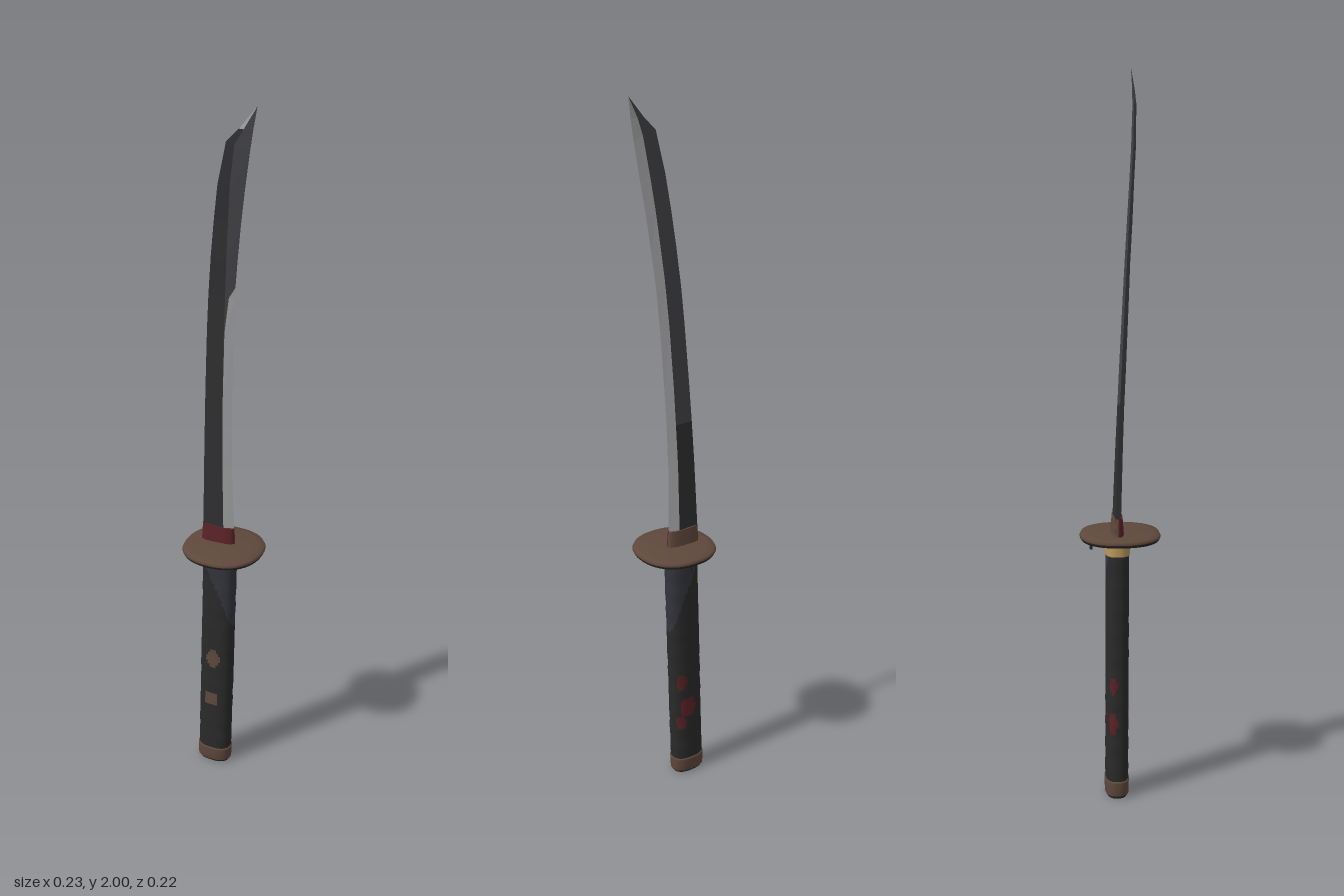
import * as THREE from 'three';

const mat = (name, color) => Object.assign(new THREE.MeshStandardMaterial({ color }), { name });
const lerp = THREE.MathUtils.lerp;

export function createModel() {
  const M = {
    wrap: mat('black wrap', 0x2a2a2b),
    slate: mat('slate wrap', 0x34353d),
    brown: mat('rusty brown', 0x5f483c),
    under: mat('sooty iron', 0x2a2523),
    red: mat('dried red', 0x5a2227),
    gold: mat('dull gold', 0xb8975c),
    dark: mat('dark steel', 0x303032),
    steel: mat('grey steel', 0x434348),
    silver: mat('polished edge', 0xa2a2a4),
  };
  const model = new THREE.Group();
  model.name = 'sword';

  // Skin closed rings of points; pick(i, j) names the material of each cell
  function skin(name, rings, pick, flat = false) {
    const n = rings[0].length, buckets = {};
    for (let i = 0; i < rings.length - 1; i++) {
      for (let j = 0; j < n; j++) {
        const k = (j + 1) % n;
        const a = i * n + j, b = i * n + k, c = a + n, d = b + n;
        (buckets[pick(i, j)] ??= []).push(a, c, b, b, c, d);
      }
    }
    let geo = new THREE.BufferGeometry();
    geo.setAttribute('position', new THREE.Float32BufferAttribute(rings.flat(2), 3));
    geo.setIndex(Object.values(buckets).flat());
    let start = 0;
    Object.values(buckets).forEach((list, g) => {
      geo.addGroup(start, list.length, g);
      start += list.length;
    });
    if (flat) geo = geo.toNonIndexed();
    geo.computeVertexNormals();
    const mesh = new THREE.Mesh(geo, Object.keys(buckets).map(key => M[key]));
    mesh.name = name;
    model.add(mesh);
  }

  // Rounded-oval ring at height y with half widths ax, az
  function oval(y, cx, cz, ax, az, n = 48, power = 2.5) {
    return Array.from({ length: n }, (_, j) => {
      const a = (j / n) * Math.PI * 2, c = Math.cos(a), s = Math.sin(a);
      return [
        cx + ax * Math.sign(c) * Math.abs(c) ** (2 / power), y,
        cz + az * Math.sign(s) * Math.abs(s) ** (2 / power),
      ];
    });
  }
  // Handle axis leans slightly towards +x
  const axisX = y => -0.037 + 0.029 * y;
  const axisZ = y => -0.013 + 0.006 * y;
  const gripRing = (y, ax, az) => oval(y, axisX(y), axisZ(y), ax, az);

  // Grip with worn spots [angle, height, angular radius, height radius, material]
  const spots = [
    [1.57, 0.375, 0.38, 0.03, 'brown'], [1.62, 0.23, 0.38, 0.025, 'brown'],
    [-1.0, 0.32, 0.4, 0.025, 'red'], [-1.35, 0.23, 0.45, 0.035, 'red'],
    [-0.9, 0.18, 0.4, 0.025, 'red'], [-2.75, 0.33, 0.35, 0.025, 'red'],
    [-2.7, 0.22, 0.4, 0.035, 'red'],
  ];
  const gripRows = 64, y0 = 0.045, y1 = 0.705;
  const grip = Array.from({ length: gripRows + 1 }, (_, i) => {
    const y = lerp(y0, y1, i / gripRows), ripple = 1 + 0.012 * Math.sin(y * 95);
    return gripRing(y, 0.049 * ripple, 0.032 * ripple);
  });
  skin('grip', grip, (i, j) => {
    const y = lerp(y0, y1, (i + 0.5) / gripRows);
    let a = ((j + 0.5) / 48) * Math.PI * 2;
    if (a > Math.PI) a -= Math.PI * 2;
    const spot = spots.find(s => ((a - s[0]) / s[2]) ** 2 + ((y - s[1]) / s[3]) ** 2 < 1);
    if (spot) return spot[4];
    return y > 0.62 - 0.13 * Math.cos(a) ? 'slate' : 'wrap';
  });

  // Pommel cap, dark underneath
  skin('pommel', [
    gripRing(0, 0, 0), gripRing(0, 0.045, 0.028), gripRing(0, 0.045, 0.028),
    gripRing(0.008, 0.05, 0.033), gripRing(0.045, 0.051, 0.034),
    gripRing(0.05, 0.051, 0.034), gripRing(0.052, 0.04, 0.025),
  ], i => (i < 3 ? 'under' : 'brown'));

  // Gold ferrule under the guard
  skin('ferrule', [
    gripRing(0.7, 0.04, 0.025), gripRing(0.7, 0.05, 0.034), gripRing(0.7, 0.05, 0.034),
    gripRing(0.737, 0.05, 0.034),
  ], () => 'gold');

  // Guard: gently domed rounded disc
  const guard = [
    [0, 0.732], [0.09, 0.734], [0.11, 0.738], [0.114, 0.746],
    [0.11, 0.754], [0.09, 0.757], [0.04, 0.761], [0, 0.762],
  ];
  skin('guard', guard.map(([r, y]) => oval(y, 0, 0, r, r * 0.985, 64, 2.25)),
    i => (i < 3 ? 'under' : 'brown'));

  // Small peg hanging under the guard
  const peg = new THREE.Mesh(new THREE.CylinderGeometry(0.005, 0.004, 0.03, 10), M.under);
  peg.name = 'guardPeg';
  peg.position.set(0, 0.722, -0.08);
  model.add(peg);

  // Collar at the blade root
  const collarRing = (y, ax, az) => oval(y, -0.022, -0.01, ax, az);
  skin('collar', [
    collarRing(0.755, 0.051, 0.018), collarRing(0.808, 0.048, 0.014),
    collarRing(0.808, 0.048, 0.014), collarRing(0.808, 0, 0),
  ], (i, j) => (j < 24 ? 'red' : 'brown'));

  // Blade rows: spine x,y | edge x,y | z | half thickness | front ridge | polish limit | back ridge
  const rows = [
    [-0.068, 0.76, 0.026, 0.76, -0.012, 0.011, 0.70, 0.70, 0.68],
    [-0.060, 1.00, 0.022, 1.00, -0.004, 0.009, 0.70, 0.70, 0.68],
    [-0.055, 1.12, 0.024, 1.12, 0.001, 0.008, 0.70, 0.70, 0.68],
    [-0.050, 1.22, 0.027, 1.22, 0.006, 0.008, 0.69, 0.69, 0.67],
    [-0.040, 1.40, 0.035, 1.40, 0.015, 0.007, 0.67, 0.69, 0.66],
    [-0.033, 1.50, 0.042, 1.50, 0.020, 0.006, 0.65, 0.78, 0.66],
    [-0.030, 1.53, 0.045, 1.53, 0.022, 0.006, 0.64, 0.98, 0.65],
    [-0.022, 1.61, 0.052, 1.60, 0.027, 0.006, 0.60, 0.99, 0.65],
    [-0.010, 1.71, 0.064, 1.70, 0.033, 0.005, 0.54, 0.99, 0.63],
    [0.003, 1.80, 0.077, 1.79, 0.039, 0.005, 0.46, 0.99, 0.62],
    [0.028, 1.91, 0.092, 1.89, 0.043, 0.004, 0.35, 0.99, 0.60],
    [0.062, 1.944, 0.100, 1.944, 0.043, 0.003, 0.35, 0.99, 0.50],
    [0.108, 2.00, 0.1085, 2.00, 0.040, 0.0005, 0.35, 0.99, 0.50],
  ];
  const blade = rows.map(([sx, sy, ex, ey, z, t, ridge, polish, back]) => {
    const at = (f, dz) => [lerp(sx, ex, f), lerp(sy, ey, f), z + dz];
    const bevel = t * (1 - polish) / (1 - ridge);
    return [at(1, 0), at(polish, bevel), at(ridge, t), at(0, t * 0.7), at(0, -t * 0.7), at(back, -t)];
  });
  skin('blade', blade, (i, j) => {
    if (j === 0 || j === 5) return 'silver';
    if (j === 1) return 'steel';
    if (j === 2) return i === rows.length - 2 ? 'silver' : 'dark';
    if (j === 3) return 'dark';
    return i < 2 ? 'dark' : 'steel';
  }, true);

  return model;
}
